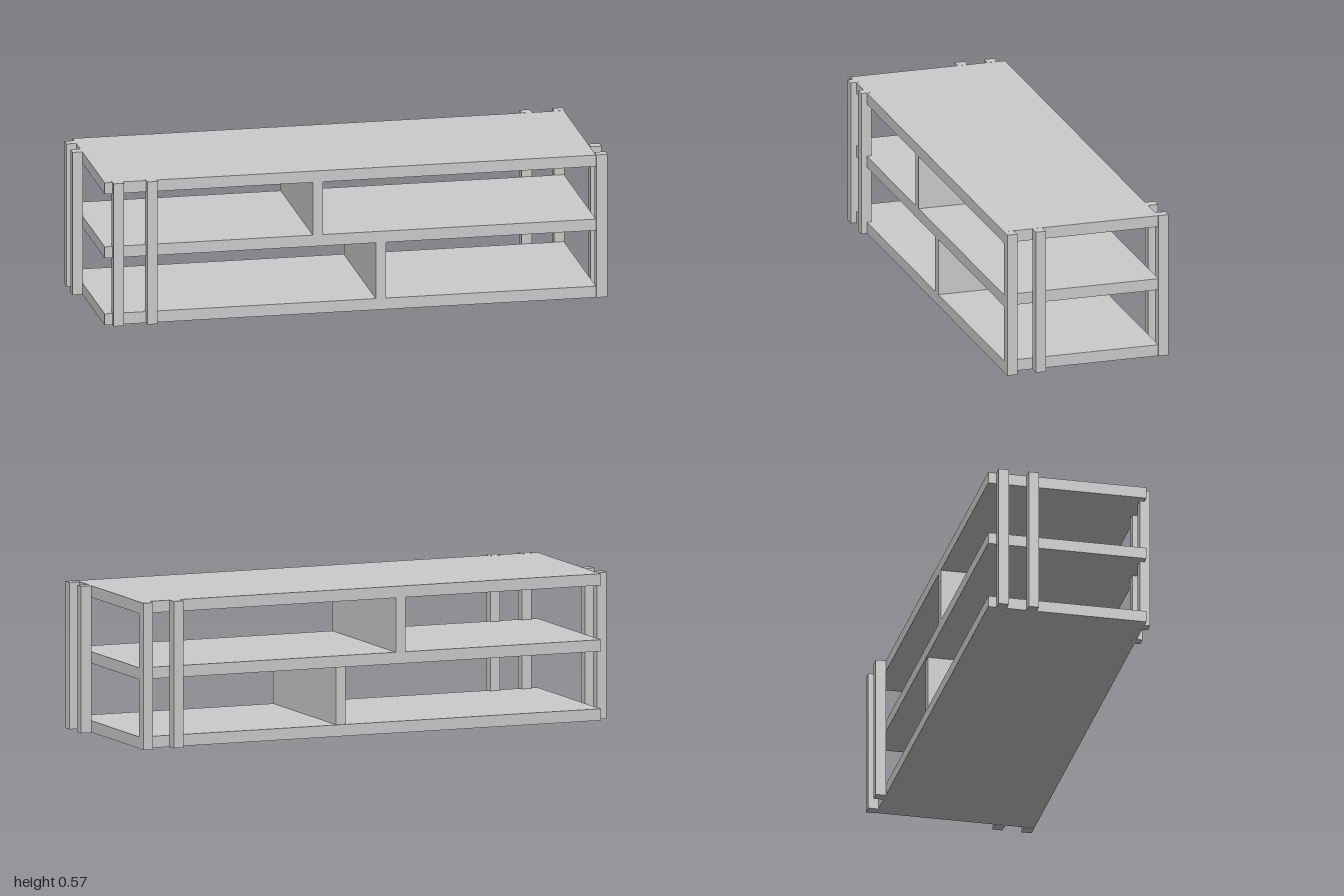
import * as THREE from 'three';

const material = new THREE.MeshStandardMaterial({ color: 0xcccccc, flatShading: true });

// Box given by its minimum and maximum along each axis
function addBox(parent, name, [x0, x1], [y0, y1], [z0, z1]) {
  const mesh = new THREE.Mesh(new THREE.BoxGeometry(x1 - x0, y1 - y0, z1 - z0), material);
  mesh.position.set((x0 + x1) / 2, (y0 + y1) / 2, (z0 + z1) / 2);
  mesh.name = name;
  parent.add(mesh);
}

export function createModel() {
  const model = new THREE.Group();
  model.name = 'shelfUnit';

  const H = 0.567, T = 0.045, P = 0.04;
  const shelfX = [-0.962, 0.955], shelfZ = [-0.301, 0.319];
  const middle = 0.267;

  // Three long boards
  [['bottomShelf', 0], ['middleShelf', middle], ['topShelf', H - T]].forEach(([name, y]) =>
    addBox(model, name, shelfX, [y, y + T], shelfZ));

  // Staggered upright dividers between the boards
  addBox(model, 'lowerDivider', [0.096, 0.136], [T, middle], [-0.295, 0.319]);
  addBox(model, 'upperDivider', [-0.15, -0.11], [middle + T, H - T], shelfZ);

  // Pairs of square posts, one pair on each side; the front pair is half let into the boards
  const posts = [
    ['frontPost', -0.931, 0.301], ['frontPost', -0.8, 0.301],
    ['backPost', 0.79, -0.341], ['backPost', 0.917, -0.341],
    ['leftPost', 0.957, 0.279], ['leftPost', 0.957, 0.165],
    ['rightPost', -1, -0.269], ['rightPost', -1, -0.151],
  ];
  for (const [name, x, z] of posts) {
    const width = name === 'leftPost' ? 0.043 : P;
    addBox(model, name, [x, x + width], [-0.0005, H + 0.0005], [z, z + P]);
  }

  model.position.y = 0.0005;
  return model;
}
